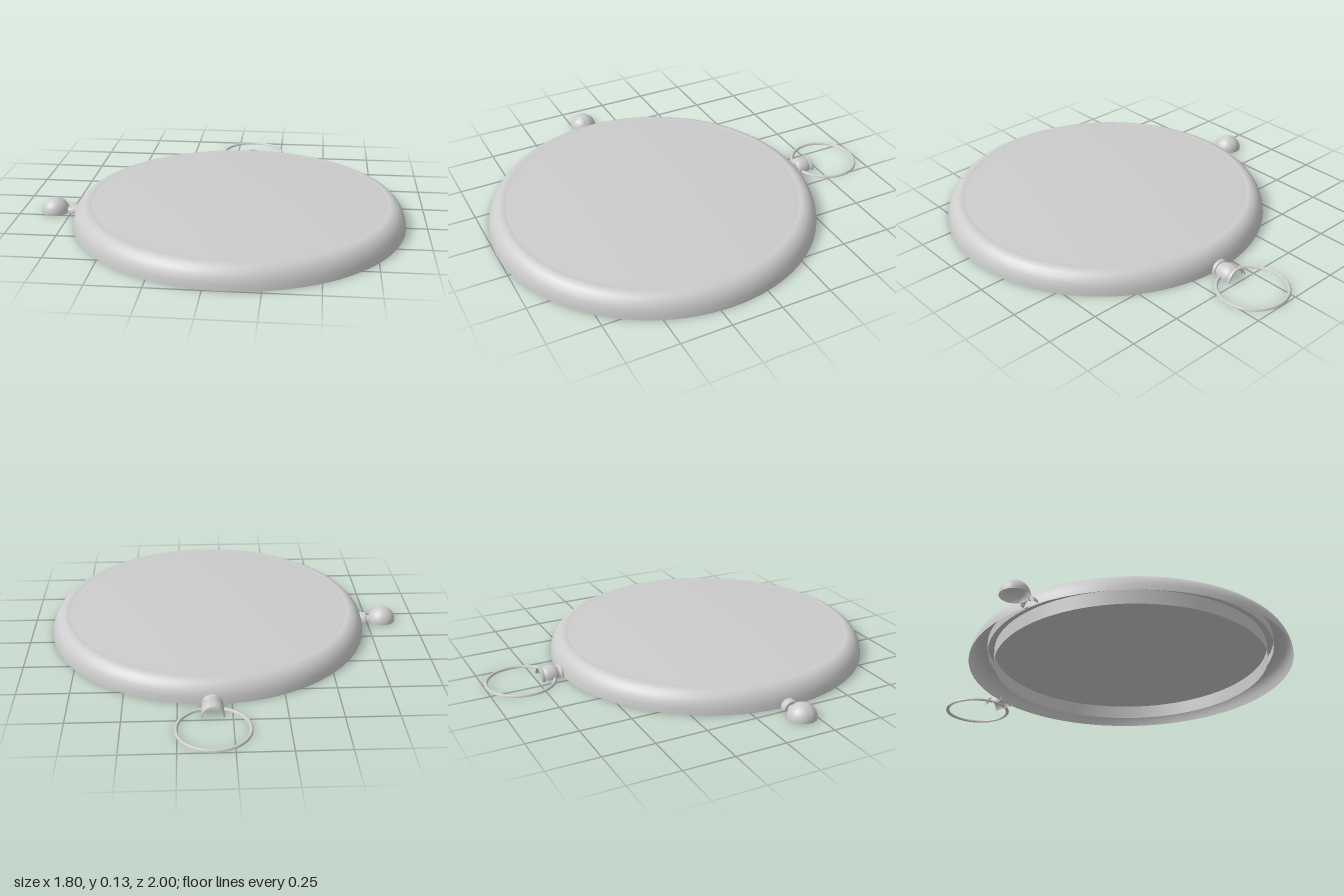
import * as THREE from 'three';
import { toCreasedNormals } from 'three/addons/utils/BufferGeometryUtils.js';

const material = new THREE.MeshStandardMaterial({ color: 0xcccccc, side: THREE.DoubleSide });
const CX = 0.09, CZ = 0.19; // centre of the case

// Surface of revolution about y, from [radius, height] pairs
function lathe(points, segments, start = 0, length = Math.PI * 2) {
  const profile = points.map(([r, y]) => new THREE.Vector2(r, y));
  return toCreasedNormals(new THREE.LatheGeometry(profile, segments, start, length), 0.6);
}

function part(name, geometry, x, y, z) {
  const mesh = new THREE.Mesh(geometry, material);
  mesh.name = name;
  mesh.position.set(x, y, z);
  return mesh;
}

// Upper half of a turned part whose axis lies flat, pointing to -z
function halfTurned(name, points, x, z) {
  return part(name, lathe(points, 32, -Math.PI / 2, Math.PI).rotateX(-Math.PI / 2), x, 0, z);
}

// Points along an arc in the profile plane
function arc(cx, cy, rx, ry, from, to, n) {
  return Array.from({ length: n + 1 }, (_, i) => {
    const a = from + (to - from) * i / n;
    return [Math.max(0, cx + rx * Math.cos(a)), cy + ry * Math.sin(a)];
  });
}

export function createModel() {
  const model = new THREE.Group();
  model.name = 'halfPocketWatch';

  // Rounded bezel shell, open underneath, with a short lip turned down inside
  model.add(part('bezel', lathe([
    [0.81, 0], [0.806, 0.03], [0.797, 0.055], [0.784, 0.076], [0.768, 0.091],
    [0.751, 0.1], [0.734, 0.104], [0.72, 0.102], [0.718, 0.06],
  ], 96), CX, 0, CZ));

  // Shallow domed cover, flush with the bezel
  const dome = Array.from({ length: 13 }, (_, i) => {
    const t = 1 - i / 12;
    return [0.72 * t, 0.126 - 0.024 * t * t];
  });
  model.add(part('domedCover', lathe(dome, 96), CX, 0, CZ));

  // Inner wall and the plate it carries
  model.add(part('innerWall', lathe([[0.685, 0], [0.685, 0.07]], 96), CX, 0, CZ));
  model.add(part('dialPlate', new THREE.CircleGeometry(0.685, 96).rotateX(Math.PI / 2), CX, 0.07, CZ));

  // Winding stem at the back, hollow at its end
  model.add(halfTurned('stem', [
    [0.05, 0], [0.05, 0.014], [0.043, 0.02], [0.043, 0.028], [0.048, 0.034],
    [0.052, 0.05], [0.052, 0.078], [0.048, 0.092], [0.045, 0.096], [0.045, 0.1],
    [0.053, 0.101], [0.055, 0.107], [0.053, 0.117], [0.047, 0.118],
  ], CX, -0.613));

  // Thin bow ring, upper half of its tube
  model.add(part('bowRing', lathe(arc(0.166, 0, 0.009, 0.011, 0, Math.PI, 8), 80), CX, 0, -0.824));

  // Side button: collar, neck and ball
  const button = new THREE.Group();
  button.name = 'sideButton';
  button.add(halfTurned('collar', [
    [0.036, -0.015], [0.04, 0], [0.04, 0.03], [0.036, 0.035], [0.024, 0.036],
    [0.024, 0.055], [0.03, 0.058], [0.03, 0.066],
  ], 0, 0));
  button.add(halfTurned('ball', arc(0, 0.119, 0.07, 0.07, -Math.PI / 2, Math.PI / 2, 20), 0, 0));
  button.position.set(-0.713, 0, CZ);
  button.rotation.y = Math.PI / 2;
  model.add(button);

  return model;
}
